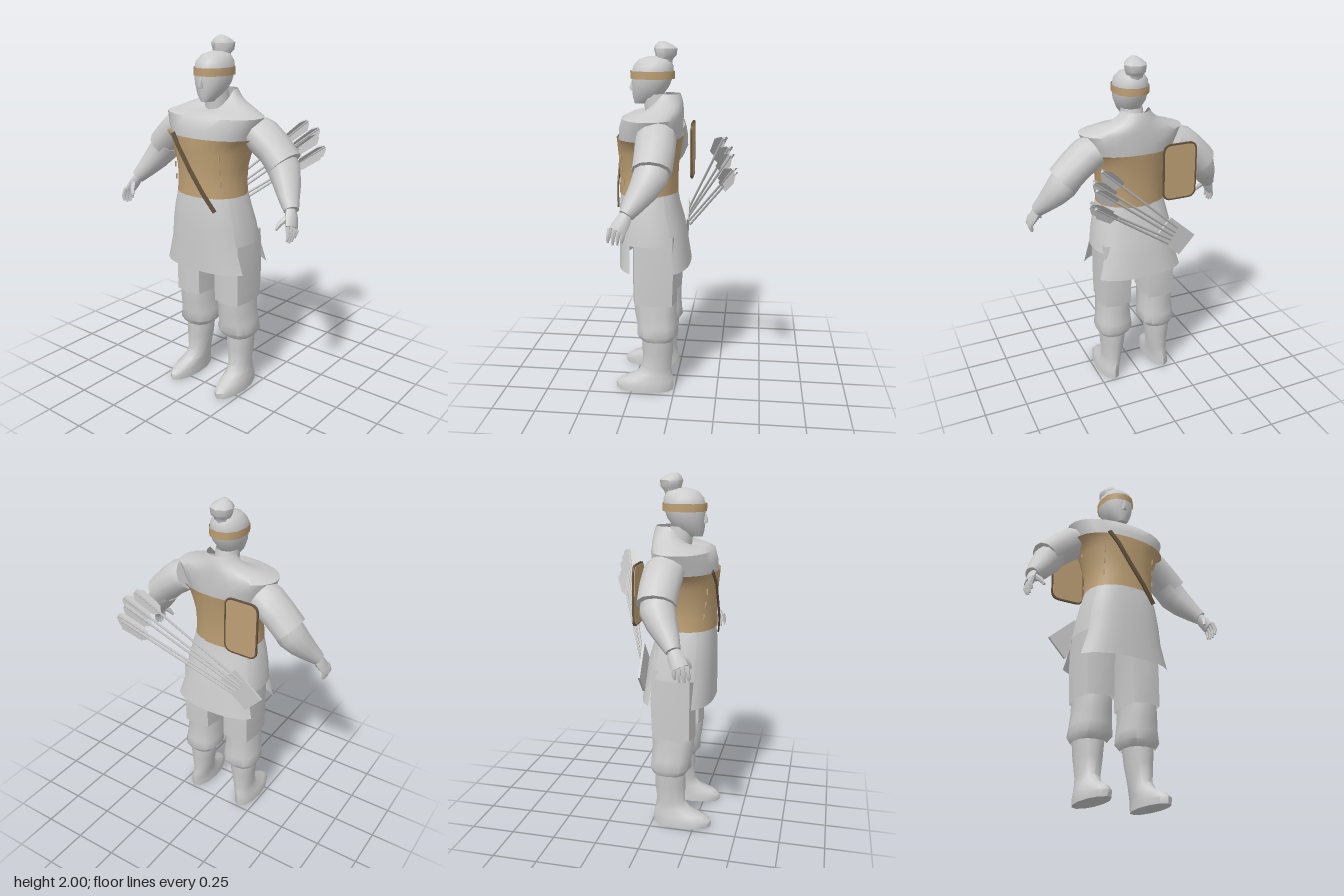
import * as THREE from 'three';
import { toCreasedNormals } from 'three/addons/utils/BufferGeometryUtils.js';

const V = (x, y, z) => new THREE.Vector3(x, y, z);
const mat = (name, color) => {
  const m = new THREE.MeshStandardMaterial({ color, side: THREE.DoubleSide });
  m.name = name;
  return m;
};

// Skin over a list of cross-sections, each an array of points
function skin(rings, closed = true, caps = true) {
  const n = rings[0].length, pts = rings.flat(), idx = [];
  const steps = closed ? n : n - 1;
  for (let i = 0; i < rings.length - 1; i++)
    for (let j = 0; j < steps; j++) {
      const a = i * n + j, b = i * n + (j + 1) % n, c = a + n, d = b + n;
      idx.push(a, c, b, b, c, d);
    }
  if (closed && caps) {
    for (const i of [0, rings.length - 1]) {
      const mid = rings[i].reduce((s, p) => s.add(p), V(0, 0, 0)).divideScalar(n);
      const k = pts.push(mid) - 1;
      for (let j = 0; j < n; j++) {
        const a = i * n + j, b = i * n + (j + 1) % n;
        if (i) idx.push(k, b, a); else idx.push(k, a, b);
      }
    }
  }
  const g = new THREE.BufferGeometry().setFromPoints(pts);
  g.setIndex(idx);
  return toCreasedNormals(g, 0.9);
}

const pw = (v, p) => Math.sign(v) * Math.abs(v) ** (2 / p);

// Horizontal sections, bottom to top: [y, centre x, half width, front z, back z, drop of the front half]
function loft(rows, { n = 16, p = 2.2, t0 = 0, t1 = Math.PI * 2, caps = true } = {}) {
  const closed = t1 - t0 > 6.28, count = closed ? n : n + 1;
  return skin(rows.map(([y, cx, rx, zf, zb, drop = 0]) => Array.from({ length: count }, (_, j) => {
    const t = t0 + (t1 - t0) * j / n;
    return V(cx + rx * pw(Math.cos(t), p), y - drop * Math.max(0, Math.sin(t)), (zf + zb) / 2 + (zf - zb) / 2 * pw(Math.sin(t), p));
  })), closed, caps);
}

// Limb along a path: [x, y, z, radius across, radius in depth]
function limb(rows, s, n = 10) {
  const c = rows.map(r => V(r[0] * s, r[1], r[2]));
  return skin(rows.map((r, i) => {
    const t = c[Math.min(i + 1, c.length - 1)].clone().sub(c[Math.max(i - 1, 0)]).normalize();
    const u = t.clone().cross(V(0, 0, 1)).normalize(), v = u.clone().cross(t);
    return Array.from({ length: n }, (_, j) => {
      const a = j / n * Math.PI * 2;
      return c[i].clone().addScaledVector(u, Math.cos(a) * r[3]).addScaledVector(v, Math.sin(a) * (r[4] ?? r[3]));
    });
  }));
}

function roundedRect(w, h, r) {
  const s = new THREE.Shape(), x = w / 2, y = h / 2;
  s.moveTo(-x + r, -y).lineTo(x - r, -y).quadraticCurveTo(x, -y, x, -y + r);
  s.lineTo(x, y - r).quadraticCurveTo(x, y, x - r, y);
  s.lineTo(-x + r, y).quadraticCurveTo(-x, y, -x, y - r);
  s.lineTo(-x, -y + r).quadraticCurveTo(-x, -y, -x + r, -y);
  return s;
}

export function createModel() {
  const root = new THREE.Group();
  root.name = 'archer';
  const grey = mat('grey', 0xcccccc), tan = mat('tan leather', 0xbd9f74), dark = mat('dark leather', 0x665440);
  const add = (name, geo, m = grey, parent = root) => {
    const mesh = new THREE.Mesh(geo, m);
    mesh.name = name;
    parent.add(mesh);
    return mesh;
  };

  // Head, nose, topknot and headband
  add('head', loft([
    [1.665, 0, 0.03, 0.24, 0.15], [1.70, 0, 0.06, 0.25, 0.09], [1.76, 0, 0.088, 0.252, 0.045],
    [1.82, 0, 0.097, 0.255, 0.022], [1.87, 0, 0.09, 0.245, 0.022], [1.905, 0, 0.065, 0.21, 0.04], [1.92, 0, 0.03, 0.16, 0.07]
  ]));
  add('neck', loft([[1.60, 0, 0.07, 0.18, 0.03], [1.72, 0, 0.062, 0.19, 0.06]], { n: 12, caps: false }));
  add('nose', loft([[1.735, 0, 0.016, 0.262, 0.23], [1.75, 0, 0.014, 0.27, 0.23], [1.795, 0, 0.008, 0.255, 0.23]], { n: 6, p: 2 }));
  add('topknot', loft([
    [1.88, 0, 0.05, 0.135, 0.03], [1.905, 0, 0.045, 0.12, 0.025], [1.925, 0, 0.06, 0.12, 0.005],
    [1.962, 0, 0.065, 0.13, 0.0], [1.982, 0, 0.045, 0.12, 0.03], [2.0, 0, 0.015, 0.1, 0.07]
  ], { n: 8, p: 2 }));
  add('headband', loft([[1.80, 0, 0.1, 0.262, 0.015], [1.842, 0, 0.1, 0.262, 0.015]], { n: 12, caps: false }), tan);

  // Tunic with a collar that stands up behind the neck and opens in front
  add('tunic', loft([
    [1.16, 0, 0.197, 0.32, 0], [1.30, 0, 0.195, 0.318, 0], [1.46, 0, 0.243, 0.328, -0.024], [1.53, 0, 0.275, 0.324, -0.032],
    [1.595, 0, 0.303, 0.305, -0.032], [1.63, 0, 0.22, 0.265, -0.034, 0.015], [1.66, 0, 0.14, 0.215, -0.033, 0.045],
    [1.69, 0, 0.1, 0.185, -0.028, 0.07], [1.72, 0, 0.08, 0.165, -0.018, 0.1]
  ], { n: 24, p: 2.1, caps: false }));
  add('chestArmour', loft([
    [1.17, 0, 0.203, 0.328, -0.004], [1.24, 0, 0.197, 0.325, -0.004], [1.32, 0, 0.202, 0.325, -0.008],
    [1.41, 0, 0.228, 0.332, -0.02], [1.465, 0, 0.25, 0.336, -0.03], [1.488, 0, 0.285, 0.336, -0.034]
  ], { n: 24, caps: false }), tan);
  for (const s of [-1, 1])
    for (let i = 0; i < 3; i++)
      add('lace', new THREE.BoxGeometry(0.004, 0.03, 0.008), tan).position.set(s * 0.155, 1.25 + i * 0.07, 0.283 + i * 0.007);

  // Strap across the chest
  const strapPath = [[-0.14, 1.5, 0.322], [-0.09, 1.43, 0.335], [-0.01, 1.31, 0.335], [0.07, 1.2, 0.332], [0.14, 1.105, 0.318]];
  add('chestStrap', skin(strapPath.map(([x, y, z]) => [[-1, -1], [1, -1], [1, 1], [-1, 1]].map(
    ([a, b]) => V(x + a * 0.01, y + a * 0.007, z + b * 0.004)))), dark);

  // Skirt: front and back panels run to the hem, the sides stop at the hips
  const skirt = [[0.75, 0, 0.298, 0.33, -0.08], [0.90, 0, 0.25, 0.33, -0.058], [1.0, 0, 0.237, 0.33, -0.04], [1.1, 0, 0.215, 0.326, -0.012], [1.175, 0, 0.195, 0.318, 0]];
  const slitF = 0.5, slitB = 0.6, turn = Math.PI * 2;
  const panel = (name, rows, t0, t1, n) => add(name, loft(rows, { n, p: 2.5, t0, t1 }));
  panel('skirtFront', skirt, slitF, Math.PI - slitF, 14);
  panel('skirtBack', skirt, Math.PI + slitB, turn - slitB, 12);
  panel('skirtLeft', skirt.slice(1), -slitB, slitF, 6);
  panel('skirtRight', skirt.slice(1), Math.PI - slitF, Math.PI + slitB, 6);

  for (const s of [-1, 1]) {
    const side = new THREE.Group();
    side.name = s > 0 ? 'leftLimbs' : 'rightLimbs';
    root.add(side);
    const put = (name, geo) => add(name, geo, grey, side);

    // Leg: foot and boot, gathered trousers, thigh guard
    put('boot', loft([
      [0, s * 0.17, 0.068, 0.345, 0.008], [0.035, s * 0.17, 0.068, 0.35, 0.006], [0.065, s * 0.167, 0.063, 0.315, 0.008],
      [0.10, s * 0.16, 0.059, 0.225, 0.015], [0.14, s * 0.155, 0.06, 0.19, 0.022], [0.24, s * 0.152, 0.074, 0.19, 0.01], [0.34, s * 0.15, 0.084, 0.19, 0.008]
    ], { n: 12, p: 2 }));
    put('trousers', loft([
      [0.32, s * 0.148, 0.088, 0.195, 0.004], [0.355, s * 0.143, 0.112, 0.222, -0.018], [0.41, s * 0.141, 0.105, 0.222, -0.012],
      [0.48, s * 0.14, 0.098, 0.234, -0.008], [0.55, s * 0.139, 0.095, 0.238, -0.01]
    ], { n: 12, p: 2.5, caps: false }));
    put('thighGuard', loft([[0.545, s * 0.139, 0.096, 0.242, -0.012], [0.75, s * 0.139, 0.098, 0.242, -0.02], [0.95, s * 0.13, 0.104, 0.24, -0.015]], { n: 8, p: 4, caps: false }));

    // Arm: wide short sleeve over a puffed lower sleeve
    put('upperSleeve', limb([
      [0.24, 1.515, 0.088, 0.088, 0.106], [0.28, 1.495, 0.085, 0.096, 0.11], [0.35, 1.44, 0.082, 0.092, 0.108], [0.425, 1.365, 0.085, 0.09, 0.105]
    ], s, 12));
    put('lowerSleeve', limb([
      [0.39, 1.38, 0.087, 0.082, 0.096], [0.425, 1.335, 0.092, 0.082, 0.095], [0.465, 1.275, 0.125, 0.07, 0.08],
      [0.51, 1.21, 0.17, 0.052, 0.058], [0.545, 1.165, 0.2, 0.04, 0.04]
    ], s, 12));
    put('palm', limb([[0.535, 1.175, 0.195, 0.024, 0.03], [0.555, 1.135, 0.215, 0.026, 0.042], [0.575, 1.09, 0.24, 0.02, 0.045]], s, 8));
    put('thumb', limb([[0.545, 1.14, 0.235, 0.015], [0.522, 1.105, 0.27, 0.014], [0.508, 1.075, 0.285, 0.007]], s, 6));
    for (let i = 0; i < 4; i++) {
      const z = 0.205 + i * 0.024, drop = i % 3 ? 0 : 0.012;
      put('finger', limb([[0.573, 1.105, z, 0.013], [0.586, 1.06, z + 0.008, 0.012], [0.578, 1.018 + drop, z + 0.012, 0.006]], s, 6));
    }
  }

  // Flat back pouch with a dark rim
  const pouch = new THREE.Group();
  pouch.name = 'backPouch';
  pouch.position.set(-0.21, 1.375, -0.072);
  root.add(pouch);
  add('pouchPanel', new THREE.ExtrudeGeometry(roundedRect(0.19, 0.315, 0.045), { depth: 0.012, bevelEnabled: false }), tan, pouch);
  const rim = roundedRect(0.205, 0.33, 0.05);
  rim.holes.push(roundedRect(0.188, 0.313, 0.044));
  add('pouchRim', new THREE.ExtrudeGeometry(rim, { depth: 0.01, bevelEnabled: false }), dark, pouch).position.z = -0.002;

  // Flat quiver at the right hip
  const low = V(-0.285, 0.885, -0.035), high = V(-0.12, 1.035, -0.05);
  const axis = high.clone().sub(low);
  const quiver = add('quiver', new THREE.BoxGeometry(0.15, axis.length(), 0.012));
  const ay = axis.clone().normalize(), az = V(0.67, -0.74, 0).cross(ay).normalize();
  quiver.quaternion.setFromRotationMatrix(new THREE.Matrix4().makeBasis(ay.clone().cross(az), ay, az));
  quiver.position.copy(low).add(high).multiplyScalar(0.5);

  // Arrows, with three vanes each
  const vane = new THREE.Shape([[0, 0], [0.036, 0.03], [0.042, 0.15], [0.015, 0.185], [0, 0.175]].map(p => new THREE.Vector2(...p)));
  const arrows = [
    [-0.22, 1.01, -0.045, 0.33, 1.53, -0.275], [-0.2, 0.99, -0.05, 0.385, 1.49, -0.305], [-0.19, 0.965, -0.045, 0.375, 1.45, -0.315],
    [-0.17, 0.95, -0.055, 0.415, 1.385, -0.33], [-0.15, 0.93, -0.06, 0.39, 1.36, -0.335]
  ];
  for (const [x, y, z, X, Y, Z] of arrows) {
    const a = V(x, y, z), d = V(X, Y, Z).sub(a), len = d.length();
    const arrow = new THREE.Group();
    arrow.name = 'arrow';
    arrow.position.copy(a);
    arrow.quaternion.setFromUnitVectors(V(0, 1, 0), d.normalize());
    root.add(arrow);
    add('shaft', new THREE.CylinderGeometry(0.007, 0.007, len, 6), grey, arrow).position.y = len / 2;
    for (let k = 0; k < 3; k++) {
      const f = add('vane', new THREE.ShapeGeometry(vane), grey, arrow);
      f.position.y = len - 0.185;
      f.rotation.y = k * Math.PI * 2 / 3 + 0.4;
    }
  }
  return root;
}
